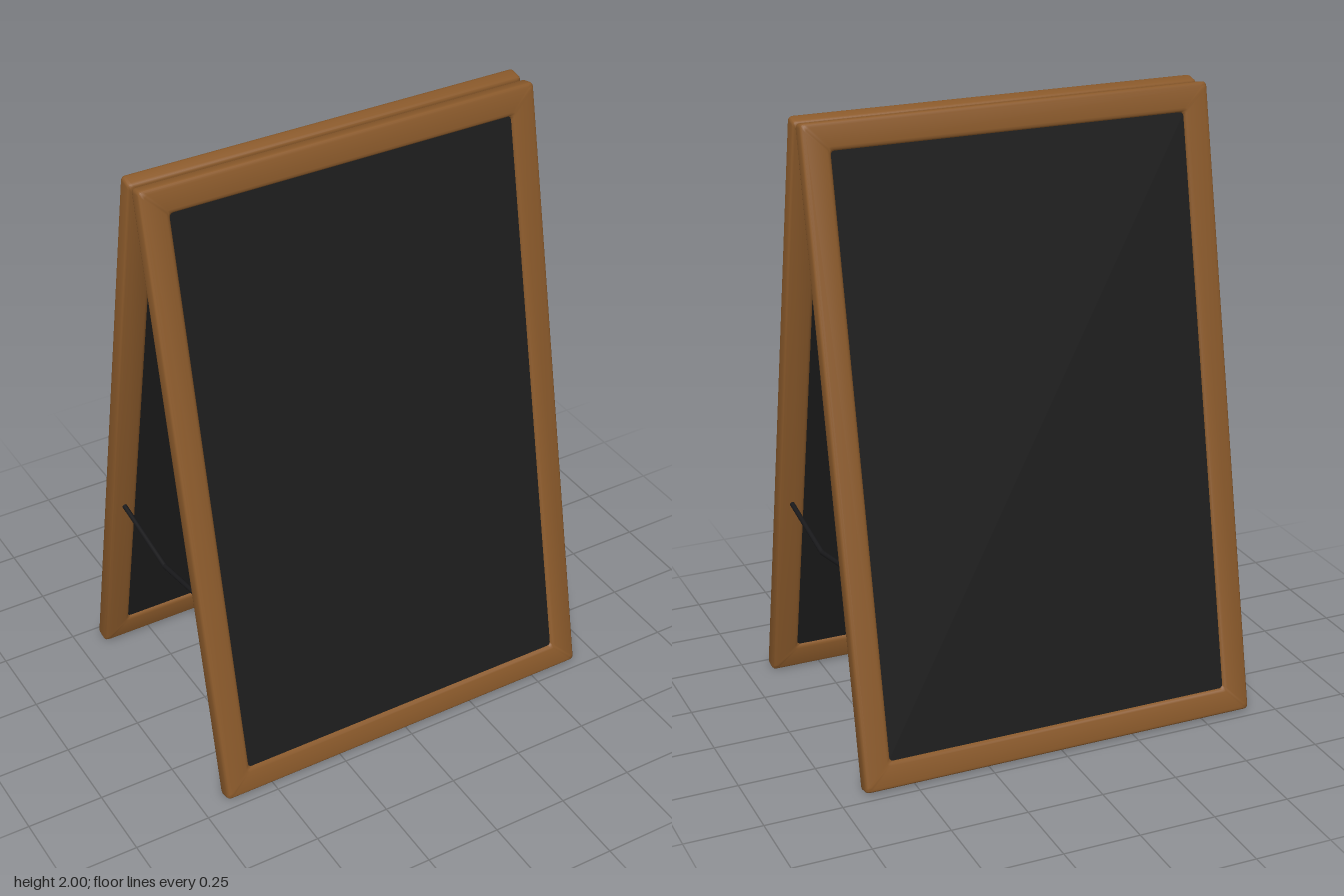
import * as THREE from 'three';
import { toCreasedNormals } from 'three/addons/utils/BufferGeometryUtils.js';

const WIDTH = 1.33, HEIGHT = 2.034, DEPTH = 0.058, RAIL = 0.088, LEAN = 0.2066;

const wood = new THREE.MeshStandardMaterial({ name: 'wood', color: 0x8b5a2b });
const slate = new THREE.MeshStandardMaterial({ name: 'slate', color: 0x1c1c1c });
const iron = new THREE.MeshStandardMaterial({ name: 'iron', color: 0x19191b });

// Points of a rounded rectangle, counter-clockwise
function roundedRect(w, h, r, steps) {
  const points = [];
  [[1, 1], [-1, 1], [-1, -1], [1, -1]].forEach(([sx, sy], corner) => {
    for (let k = 0; k <= steps; k++) {
      const a = (corner + k / steps) * Math.PI / 2;
      points.push([sx * (w / 2 - r) + r * Math.cos(a), sy * (h / 2 - r) + r * Math.sin(a)]);
    }
  });
  return points;
}

// Wooden frame: a rounded rail section carried around the rectangle
function frameGeometry() {
  const section = roundedRect(RAIL, DEPTH, 0.014, 3);
  const rings = section.map(([out]) => {
    const inset = RAIL / 2 - out;
    return roundedRect(WIDTH - 2 * inset, HEIGHT - 2 * inset, 0.012, 3);
  });
  const n = section.length, m = rings[0].length;
  const positions = [], index = [];
  for (let i = 0; i < n; i++) {
    for (let j = 0; j < m; j++) {
      positions.push(...rings[i][j], section[i][1]);
      const i2 = (i + 1) % n, j2 = (j + 1) % m;
      const a = i * m + j, b = i * m + j2, c = i2 * m + j2, d = i2 * m + j;
      index.push(a, b, c, a, c, d);
    }
  }
  const geometry = new THREE.BufferGeometry();
  geometry.setAttribute('position', new THREE.Float32BufferAttribute(positions, 3));
  geometry.setIndex(index);
  return toCreasedNormals(geometry, 0.7);
}

function add(parent, name, geometry, material) {
  const mesh = new THREE.Mesh(geometry, material);
  mesh.name = name;
  parent.add(mesh);
  return mesh;
}

export function createModel() {
  const model = new THREE.Group();
  model.name = 'sandwichBoard';

  // Two framed panels leaning against each other
  const frame = frameGeometry();
  const board = new THREE.BoxGeometry(WIDTH - 2 * RAIL + 0.02, HEIGHT - 2 * RAIL + 0.02, 0.038);
  for (const side of [1, -1]) {
    const panel = new THREE.Group();
    panel.name = side > 0 ? 'frontPanel' : 'backPanel';
    add(panel, 'frame', frame, wood);
    add(panel, 'chalkboard', board, slate);
    panel.position.set(0, 1, side * 0.24);
    panel.rotation.x = -side * LEAN;
    model.add(panel);
  }

  for (const side of [1, -1]) {
    const label = side > 0 ? 'left' : 'right';

    // Hinge barrel between the top rails
    const hinge = add(model, label + 'Hinge', new THREE.CylinderGeometry(0.011, 0.011, 0.11, 16), iron);
    hinge.rotation.z = Math.PI / 2;
    hinge.position.set(side * 0.445, 1.966, 0);

    // Folding stay made of two straight bars meeting at a low joint
    const stay = new THREE.Group();
    stay.name = label + 'Stay';
    for (const end of [1, -1]) {
      const path = new THREE.LineCurve3(
        new THREE.Vector3(side * 0.62, 0.611, 0),
        new THREE.Vector3(side * 0.62, 0.665, end * 0.292));
      add(stay, end > 0 ? 'frontBar' : 'backBar', new THREE.TubeGeometry(path, 1, 0.008, 10), iron);
    }
    add(stay, 'joint', new THREE.SphereGeometry(0.008, 10, 8), iron).position.set(side * 0.62, 0.611, 0);
    model.add(stay);
  }
  return model;
}
